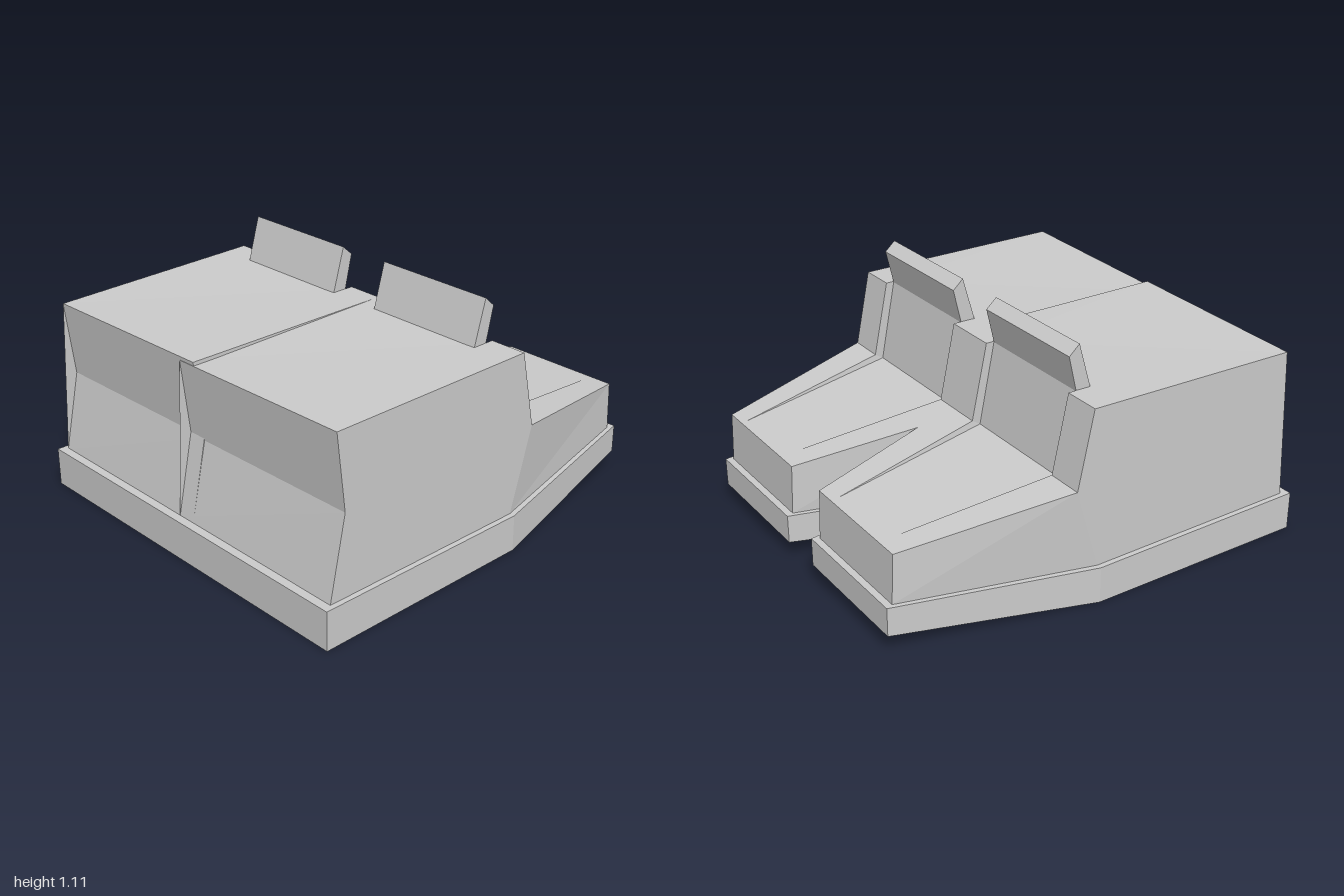
import * as THREE from 'three';

const material = new THREE.MeshStandardMaterial({ color: 0xcccccc, flatShading: true });

// Builds a flat-shaded mesh from named corners. Points are given for the +x half;
// a name ending in '-' is the mirrored corner.
function facetMesh(name, points, middleFaces, sideFaces, overrides = {}) {
  const positions = [];
  const corner = (key) => {
    if (overrides[key]) return overrides[key];
    const [x, y, z] = points[key.replace('-', '')];
    return [key.endsWith('-') ? -x : x, y, z];
  };
  const addFace = (keys) => {
    for (let i = 1; i < keys.length - 1; i++) {
      positions.push(...corner(keys[0]), ...corner(keys[i]), ...corner(keys[i + 1]));
    }
  };
  middleFaces.forEach((f) => addFace(f.split(' ')));
  sideFaces.forEach((f) => {
    const keys = f.split(' ');
    addFace(keys);
    addFace(keys.map((k) => k + '-').reverse());
  });
  const geometry = new THREE.BufferGeometry();
  geometry.setAttribute('position', new THREE.Float32BufferAttribute(positions, 3));
  geometry.computeVertexNormals();
  const mesh = new THREE.Mesh(geometry, material);
  mesh.name = name;
  return mesh;
}

// Thick sole: straight under the heel, narrowing and lifting to the toe
function createSole() {
  const points = {
    heelLow: [0.495, 0, 1], heelTop: [0.495, 0.18, 1],
    ballLow: [0.495, 0, -0.08], ballTop: [0.495, 0.17, -0.08],
    toeLow: [0.315, 0.085, -1], toeTop: [0.315, 0.217, -1],
  };
  return facetMesh('sole', points, [
    'heelLow- heelLow heelTop heelTop-',
    'heelTop- heelTop ballTop ballTop-',
    'ballTop- ballTop toeTop toeTop-',
    'toeTop toeLow toeLow- toeTop-',
    'heelLow heelLow- ballLow- ballLow',
    'ballLow ballLow- toeLow- toeLow',
  ], [
    'heelLow ballLow ballTop heelTop',
    'ballLow toeLow toeTop ballTop',
  ]);
}

// Upper: pinched heel, flat top, sloping toe and a recessed tongue panel
function createUpper() {
  const points = {
    A: [0.47, 0.175, 0.96], B: [0.47, 0.555, 0.88], C: [0.47, 0.907, 0.92],
    D: [0.47, 0.907, -0.12], E: [0.47, 0.553, -0.195],
    F: [0.3, 0.443, -0.957], G: [0.3, 0.215, -0.967], H: [0.47, 0.17, -0.08],
    // flap edges beside the tongue
    flapTop: [0.295, 0.907, -0.12], flapLow: [0.295, 0.553, -0.195], slitEnd: [0.195, 0.447, -0.93],
    // back of the recess
    panelTop: [0.295, 0.907, -0.08], panelLow: [0.295, 0.527, -0.155],
  };
  return facetMesh('upper', points, [
    'A- A B B-',
    'B- B C C-',
    'C- C panelTop panelTop-',
    'panelTop panelLow panelLow- panelTop-',
    'panelLow slitEnd slitEnd- panelLow-',
    'slitEnd F F- slitEnd-',
    'F G G- F-',
  ], [
    'B A H E D C',
    'H G F E',
    'C D flapTop panelTop',
    'D E flapLow flapTop',
    'flapTop flapLow panelLow panelTop',
    'E F slitEnd flapLow',
    'flapLow slitEnd panelLow',
  ], { 'B-': [-0.47, 0.54, 0.88], 'C-': [-0.47, 0.888, 0.92] });
}

// Tongue tab leaning toward the toe, extruded across the width
function createTongue() {
  const profile = [[-0.01, 0.905], [-0.07, 1.11], [-0.12, 1.065], [-0.08, 0.9]];
  const shape = new THREE.Shape(profile.map(([z, y]) => new THREE.Vector2(-z, y)));
  const geometry = new THREE.ExtrudeGeometry(shape, { depth: 0.59, bevelEnabled: false });
  geometry.translate(0, 0, -0.295).rotateY(Math.PI / 2);
  const mesh = new THREE.Mesh(geometry, material);
  mesh.name = 'tongue';
  return mesh;
}

export function createModel() {
  const model = new THREE.Group();
  model.name = 'boots';
  // Two identical boots, side by side and touching at the heel
  for (const [name, x] of [['rightBoot', -0.425], ['leftBoot', 0.425]]) {
    const boot = new THREE.Group();
    boot.name = name;
    boot.position.x = x;
    boot.add(createSole(), createUpper(), createTongue());
    model.add(boot);
  }
  return model;
}
